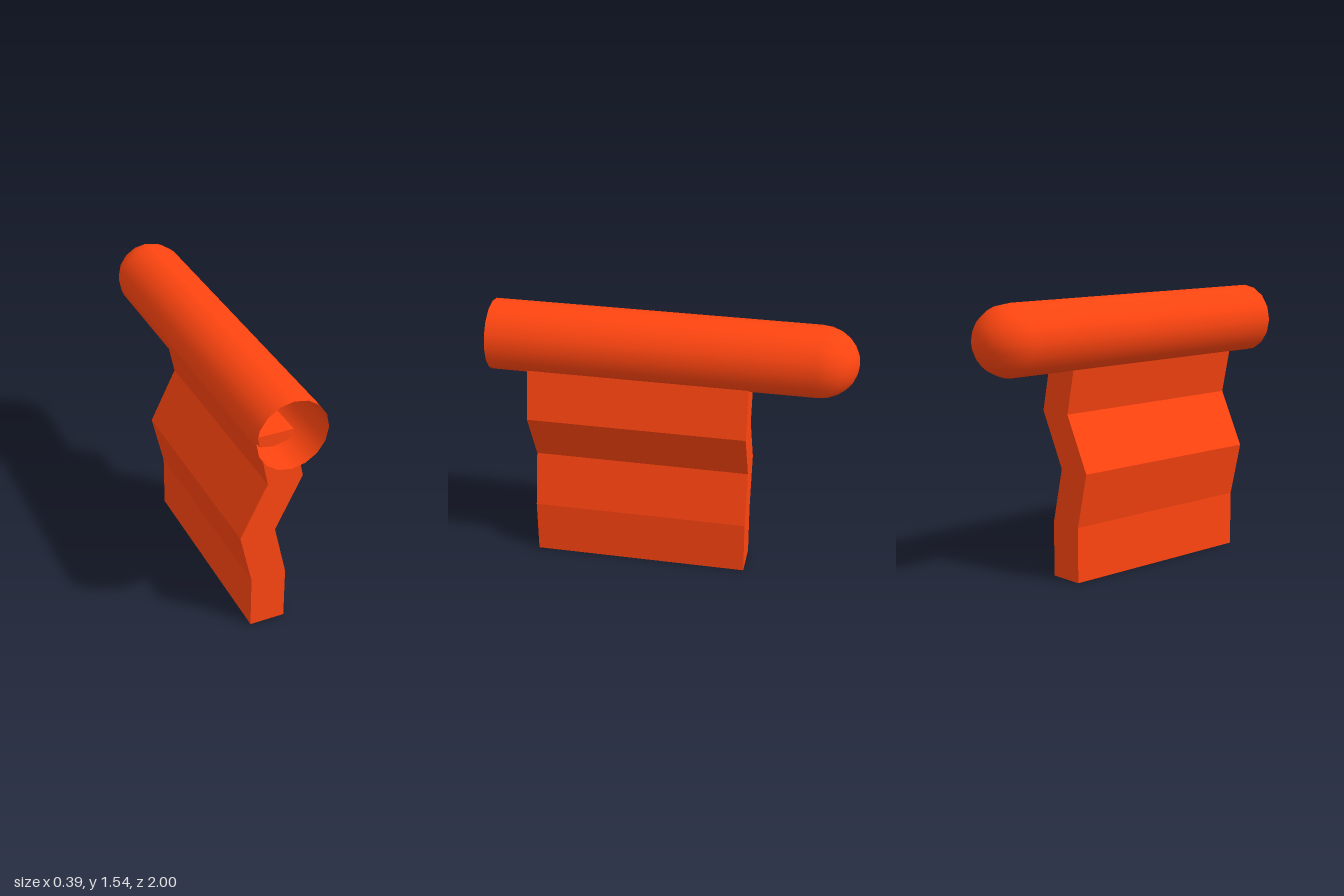
import * as THREE from 'three';

export function createModel() {
  const group = new THREE.Group();
  const paint = new THREE.MeshStandardMaterial({ color: 0xff4510, side: THREE.DoubleSide });

  // Hollow tube along z: open at the front, domed at the back
  const radius = 0.195, domeStart = 0.79, domeDepth = 0.21, domeSteps = 6;
  const profile = [new THREE.Vector2(radius, -1)];
  for (let i = 0; i <= domeSteps; i++) {
    const a = (i / domeSteps) * Math.PI / 2;
    const r = i === domeSteps ? 0 : radius * Math.cos(a);
    profile.push(new THREE.Vector2(r, domeStart + domeDepth * Math.sin(a)));
  }
  const tubeGeometry = new THREE.LatheGeometry(profile, 16);
  tubeGeometry.rotateX(-Math.PI / 2);
  const tube = new THREE.Mesh(tubeGeometry, paint);
  tube.name = 'domedTube';
  tube.position.y = 1.345;
  group.add(tube);

  // Zigzag slab: a bent centre line of constant width, extruded along z
  const spine = [[0, 0], [0, 0.31], [-0.07, 0.615], [0.08, 0.92], [0.015, 1.225]];
  const halfWidth = 0.1;
  const outline = [
    ...spine.map(([x, y]) => new THREE.Vector2(x + halfWidth, y)),
    ...spine.map(([x, y]) => new THREE.Vector2(x - halfWidth, y)).reverse(),
  ];
  const slabGeometry = new THREE.ExtrudeGeometry(new THREE.Shape(outline), {
    depth: 1.22,
    bevelEnabled: false,
  });
  const slab = new THREE.Mesh(slabGeometry, paint);
  slab.name = 'zigzagStem';
  slab.position.z = -0.43;
  group.add(slab);

  return group;
}
